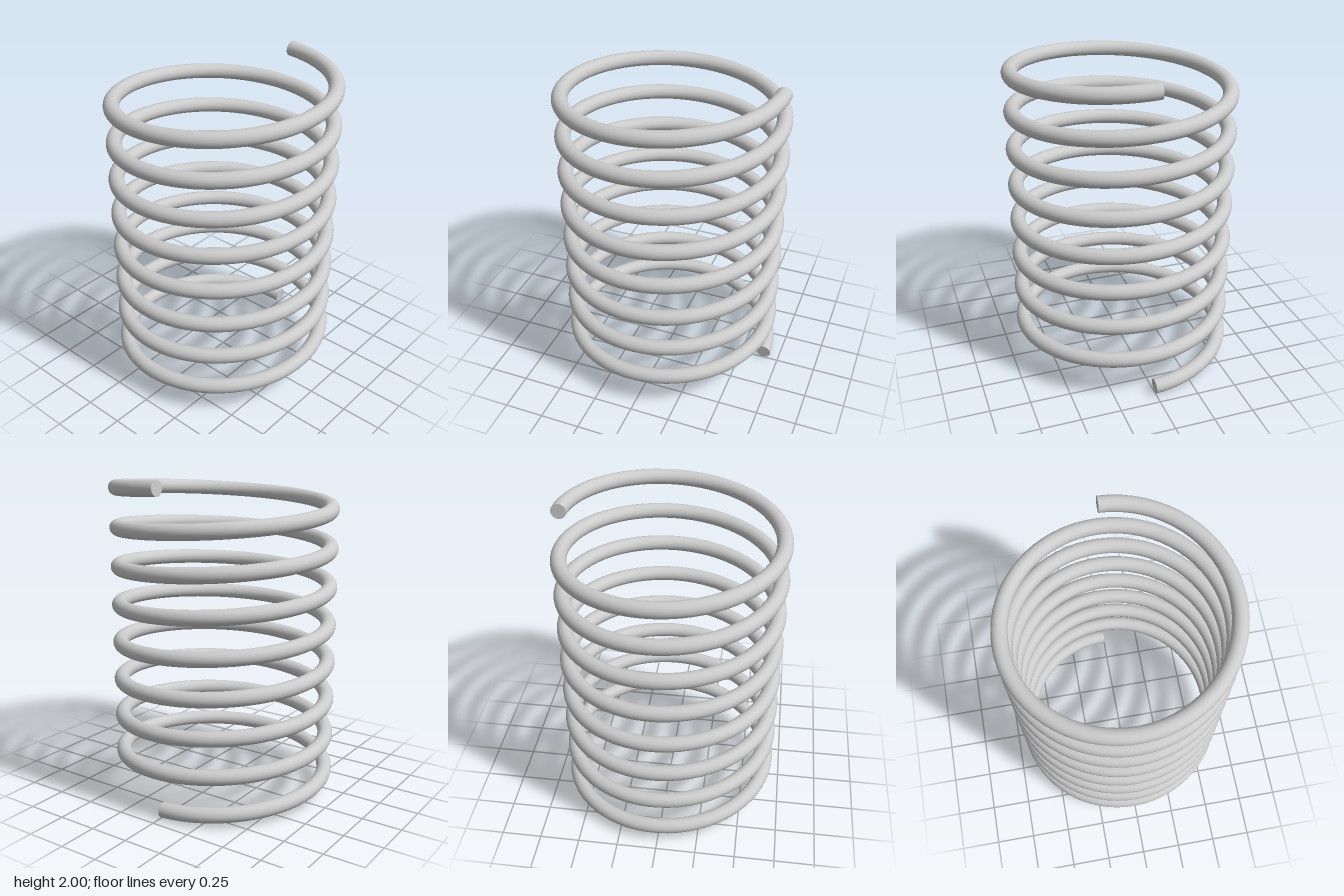
import * as THREE from 'three';

const TURNS = 8, COIL_RADIUS = 0.652, WIRE_RADIUS = 0.047, HEIGHT = 2;

// Centre line of the wire: starts at +x and climbs towards -z
class Helix extends THREE.Curve {
  getPoint(t, target = new THREE.Vector3()) {
    const a = t * TURNS * Math.PI * 2;
    const y = WIRE_RADIUS + t * (HEIGHT - 2 * WIRE_RADIUS);
    return target.set(COIL_RADIUS * Math.cos(a), y, -COIL_RADIUS * Math.sin(a));
  }
}

export function createModel() {
  const group = new THREE.Group();
  group.name = 'coilSpring';
  const material = new THREE.MeshStandardMaterial({ color: 0xcccccc });
  const helix = new Helix();

  // Wire
  const coil = new THREE.Mesh(new THREE.TubeGeometry(helix, TURNS * 64, WIRE_RADIUS, 24, false), material);
  coil.name = 'coil';
  group.add(coil);

  // Flat cut ends, facing outwards along the wire
  for (const [name, t, sign] of [['bottomEnd', 0, -1], ['topEnd', 1, 1]]) {
    const end = new THREE.Mesh(new THREE.CircleGeometry(WIRE_RADIUS, 24), material);
    end.name = name;
    end.position.copy(helix.getPoint(t));
    const outward = helix.getTangent(t).multiplyScalar(sign);
    end.quaternion.setFromUnitVectors(new THREE.Vector3(0, 0, 1), outward);
    group.add(end);
  }
  return group;
}
